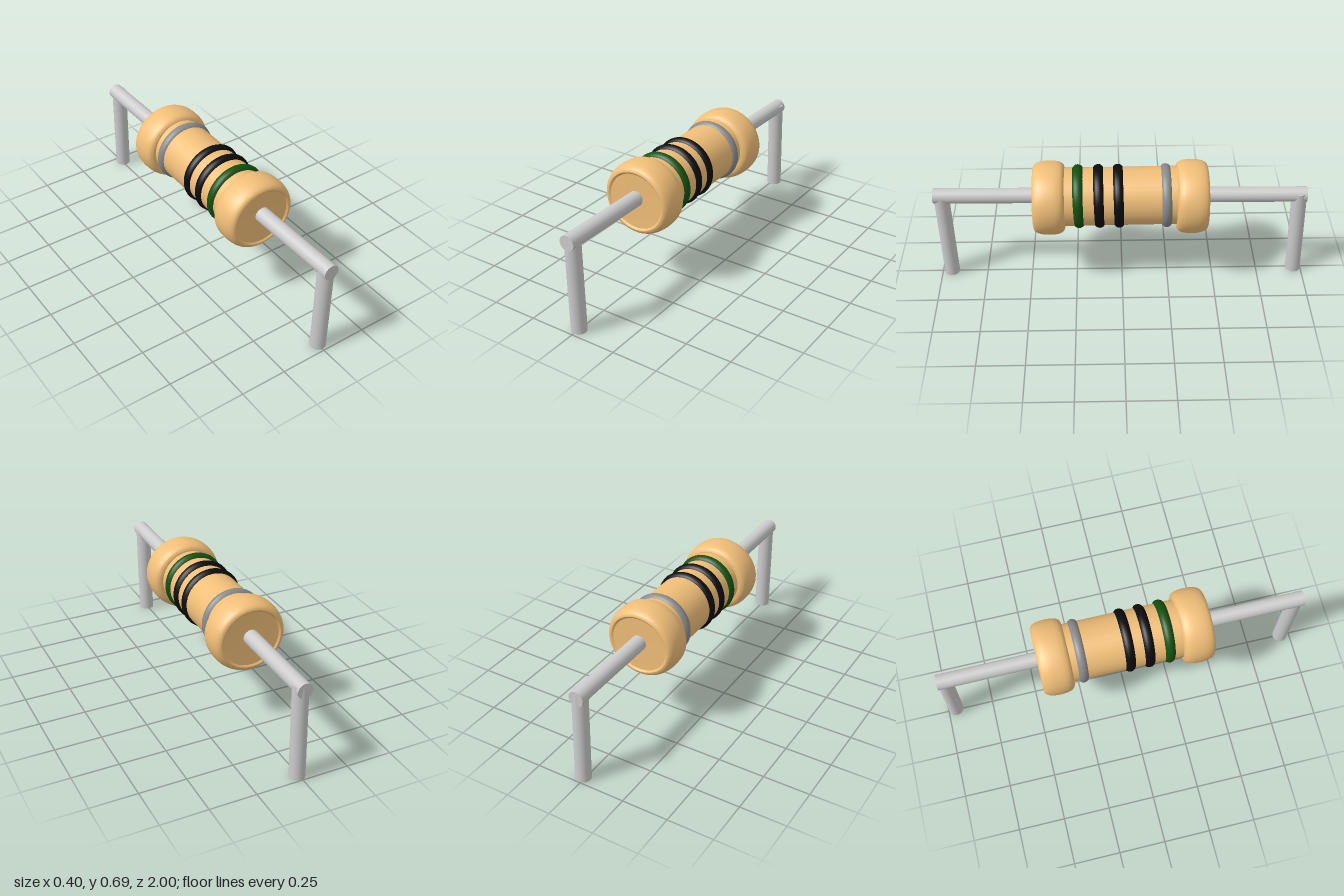
import * as THREE from 'three';
import { toCreasedNormals } from 'three/addons/utils/BufferGeometryUtils.js';

const paint = (color) => new THREE.MeshStandardMaterial({ color });

export function createModel() {
  const model = new THREE.Group();
  const tan = paint(0xf0be78);
  const metal = paint(0xcccccc);
  const axisY = 0.494;

  const add = (name, geometry, material, x = 0, y = 0, z = 0) => {
    const mesh = new THREE.Mesh(geometry, material);
    mesh.name = name;
    mesh.position.set(x, y, z);
    model.add(mesh);
    return mesh;
  };

  // Straight round bar between two points
  const rod = (name, a, b, radius, material) => {
    const from = new THREE.Vector3(...a);
    const to = new THREE.Vector3(...b);
    const mid = from.clone().add(to).multiplyScalar(0.5);
    const mesh = add(name, new THREE.CylinderGeometry(radius, radius, from.distanceTo(to), 40), material, mid.x, mid.y, mid.z);
    mesh.quaternion.setFromUnitVectors(new THREE.Vector3(0, 1, 0), to.sub(from).normalize());
  };

  // Lead wire through the body, and the two legs
  rod('leadWire', [0.002, 0.515, 1], [0.002, 0.5, -0.985], 0.041, metal);
  rod('frontLeg', [0.003, 0, 0.948], [0.003, 0.515, 0.958], 0.041, metal);
  rod('backLeg', [0.009, 0, -0.958], [0.006, 0.52, -0.945], 0.041, metal);

  // Body tube
  rod('bodyTube', [0, 0.497, 0.38], [0, 0.504, -0.38], 0.155, tan);

  // Rounded end caps with a shallow recessed disc on the outer face
  const profile = new THREE.Path();
  profile.moveTo(0.13, -0.075);
  profile.lineTo(0.156, -0.083);
  profile.bezierCurveTo(0.19, -0.083, 0.202, -0.06, 0.202, 0);
  profile.bezierCurveTo(0.202, 0.06, 0.185, 0.084, 0.165, 0.084);
  profile.lineTo(0.155, 0.077);
  profile.lineTo(0, 0.074);
  const capGeometry = toCreasedNormals(new THREE.LatheGeometry(profile.getPoints(14), 64), 0.5);
  for (const [name, z, side] of [['frontCap', 0.386, 1], ['backCap', -0.37, -1]]) {
    const cap = add(name, capGeometry, tan, 0, axisY, z);
    cap.rotation.x = side * Math.PI / 2;
    cap.scale.z = 0.965;
  }

  // Colour bands, leaning very slightly
  const bands = [
    ['greenBand', 0.231, 0x14500f],
    ['firstBlackBand', 0.122, 0x0c0c0c],
    ['secondBlackBand', 0.018, 0x0c0c0c],
    ['greyBand', -0.234, 0x8a8a8a],
  ];
  for (const [name, z, color] of bands) {
    const band = add(name, new THREE.TorusGeometry(0.14, 0.03, 16, 64), paint(color), 0, 0.501, z);
    band.rotation.x = 0.025;
  }

  return model;
}
